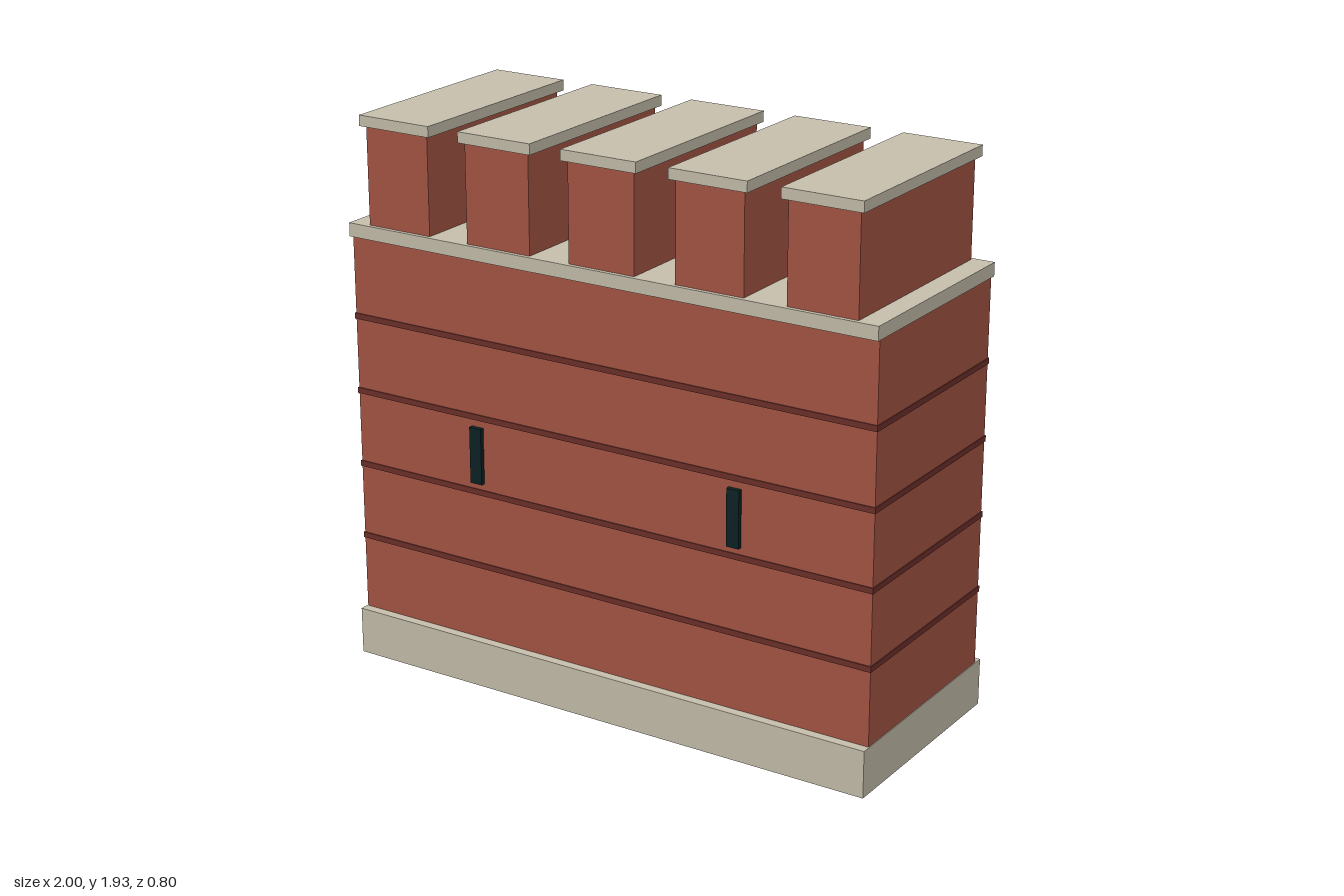
import * as THREE from 'three';

const mat = (name, color) => {
  const m = new THREE.MeshStandardMaterial({ color });
  m.name = name;
  return m;
};

export function createModel() {
  const brick = mat('red brick', 0xa65545);
  const stone = mat('pale stone', 0xc6beac);
  const course = mat('dark brick', 0x6e302a);
  const dark = mat('slit black', 0x0c2224);

  const group = new THREE.Group();
  group.name = 'battlementWall';

  // Box given by its centre in x and z, its bottom and top heights and its size
  const block = (name, material, x, y0, y1, width, depth, z = 0) => {
    const mesh = new THREE.Mesh(new THREE.BoxGeometry(width, y1 - y0, depth), material);
    mesh.position.set(x, (y0 + y1) / 2, z);
    mesh.name = name;
    group.add(mesh);
  };

  // Plinth, wall and coping
  block('plinth', stone, 0, 0, 0.165, 2, 0.8);
  block('wall', brick, 0, 0.165, 1.513, 1.994, 0.734);
  block('coping', stone, 0, 1.513, 1.56, 2, 0.764);

  // Dark brick courses, slightly proud of the wall
  for (let i = 0; i < 4; i++) {
    const y = 0.434 + i * 0.266;
    block('brickCourse', course, 0, y - 0.01, y + 0.01, 2, 0.742);
  }

  // Merlons with capstones
  for (let i = -2; i <= 2; i++) {
    block('merlon', brick, i * 0.4, 1.56, 1.898, 0.248, 0.734);
    block('capstone', stone, i * 0.4, 1.898, 1.935, 0.282, 0.764);
  }

  // Arrow slits on the front only
  for (const x of [-0.5, 0.5]) {
    block('arrowSlit', dark, x, 0.734, 0.932, 0.046, 0.018, 0.374);
  }

  return group;
}
